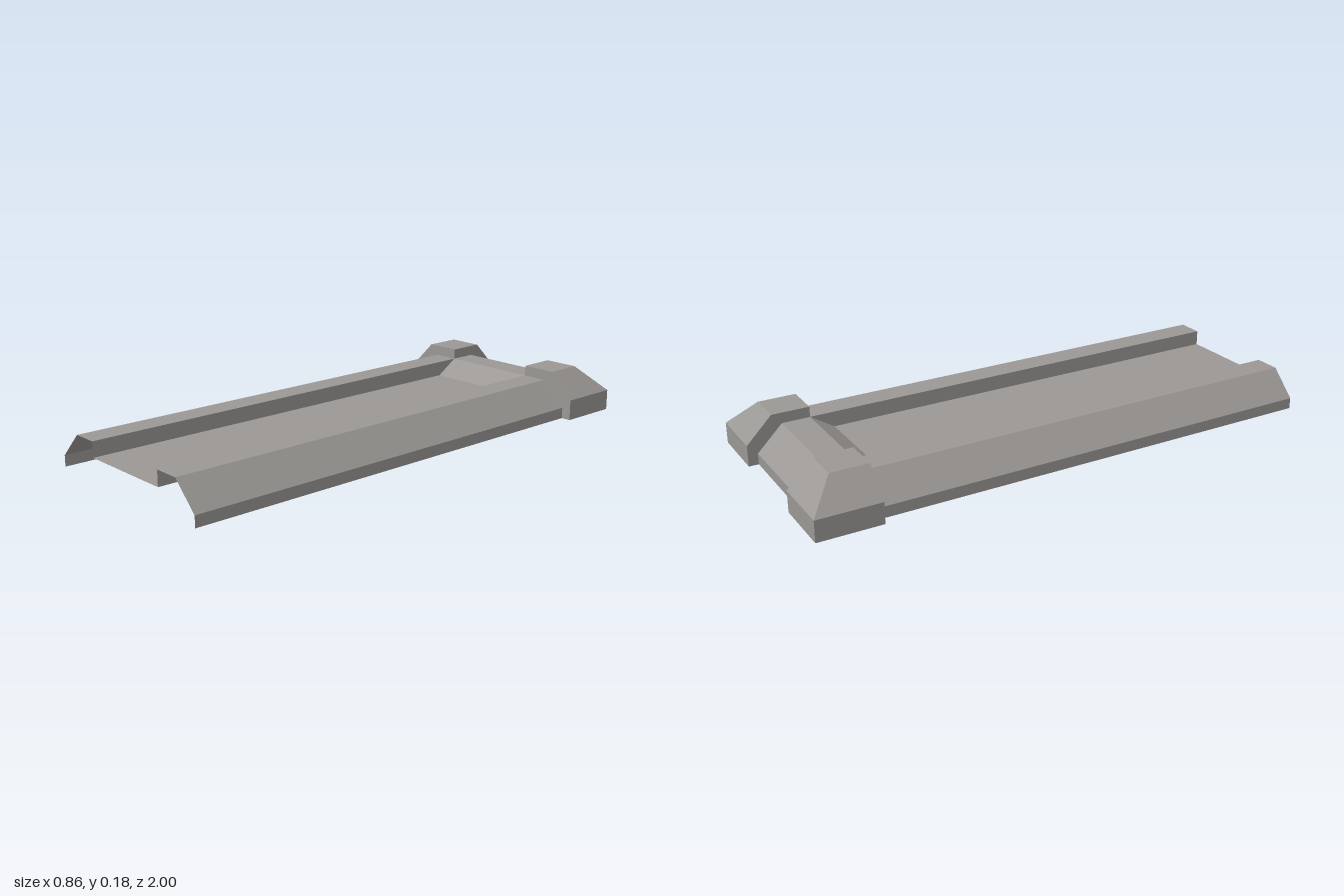
import * as THREE from 'three';

const grey = new THREE.MeshStandardMaterial({ color: 0x9a9794, side: THREE.DoubleSide });
grey.name = 'grey stone';

// Flat-faced sheet through a list of cross-sections; side = -1 mirrors it in x.
function sheet(name, sections, side = 1) {
  const pos = [];
  const tri = (a, b, c) => {
    const u = new THREE.Vector3(...b).sub(new THREE.Vector3(...a));
    const v = new THREE.Vector3(...c).sub(new THREE.Vector3(...a));
    if (u.cross(v).length() < 1e-8) return; // collapsed corner
    for (const p of side > 0 ? [a, b, c] : [a, c, b]) pos.push(p[0] * side, p[1], p[2]);
  };
  for (let s = 0; s < sections.length - 1; s++) {
    const a = sections[s], b = sections[s + 1];
    for (let i = 0; i < a.length - 1; i++) {
      tri(a[i], b[i], b[i + 1]);
      tri(a[i], b[i + 1], a[i + 1]);
    }
  }
  const geo = new THREE.BufferGeometry();
  geo.setAttribute('position', new THREE.Float32BufferAttribute(pos, 3));
  geo.computeVertexNormals();
  const mesh = new THREE.Mesh(geo, grey);
  mesh.name = name;
  return mesh;
}

export function createModel() {
  const model = new THREE.Group();
  model.name = 'channelEnd';

  const inX = 0.196, joinZ = -0.76, floorY = 0.08, railY = 0.138, capY = 0.178;
  const atZ = (profile, z) => profile.map(([x, y]) => [x, y, z]);
  const atX = (profile, x) => profile.map(([z, y]) => [x, y, z]);

  // Profiles run from the outer foot up to the inner top edge
  const rail = [[0.392, 0], [0.392, 0.042], [0.295, railY], [inX, railY]];
  const cap = [[0.43, 0], [0.43, 0.08], [0.333, capY], [inX, capY]];
  const sill = [[-0.963, 0], [-0.963, 0.042], [-0.866, railY], [joinZ, railY]];
  const capBack = [[-1, 0], [-1, 0.08], [-0.903, capY], [joinZ, capY]];

  // Centre: floor, ramp and back sill
  const across = (name, profile) => model.add(sheet(name, [atX(profile, inX), atX(profile, -inX)]));
  across('backSill', sill);
  across('ramp', [[joinZ, railY], [-0.67, floorY]]);
  across('floor', [[-0.67, floorY], [1, floorY]]);

  for (const side of [1, -1]) {
    const label = side > 0 ? 'left' : 'right';

    // Side rail with its inner wall, cut along the ramp
    model.add(sheet(label + 'Rail', [
      [...atZ(rail, 1), [inX, floorY, 1]],
      [...atZ(rail, joinZ), [inX, floorY, -0.67]],
    ], side));

    // Mitred corner cap
    const corner = new THREE.Group();
    corner.name = label + 'CornerCap';
    const mitre = cap.map(([x, y], i) => [x, y, capBack[i][0]]);
    corner.add(sheet('capShell', [atZ(cap, joinZ), mitre, atX(capBack, inX)], side));
    // Lips closing the step between the cap and the rail and sill
    corner.add(sheet('frontLip', [atZ(rail, joinZ), atZ(cap, joinZ)], side));
    corner.add(sheet('innerLip', [atX(capBack, inX), atX(sill, inX)], side));
    model.add(corner);
  }
  return model;
}
